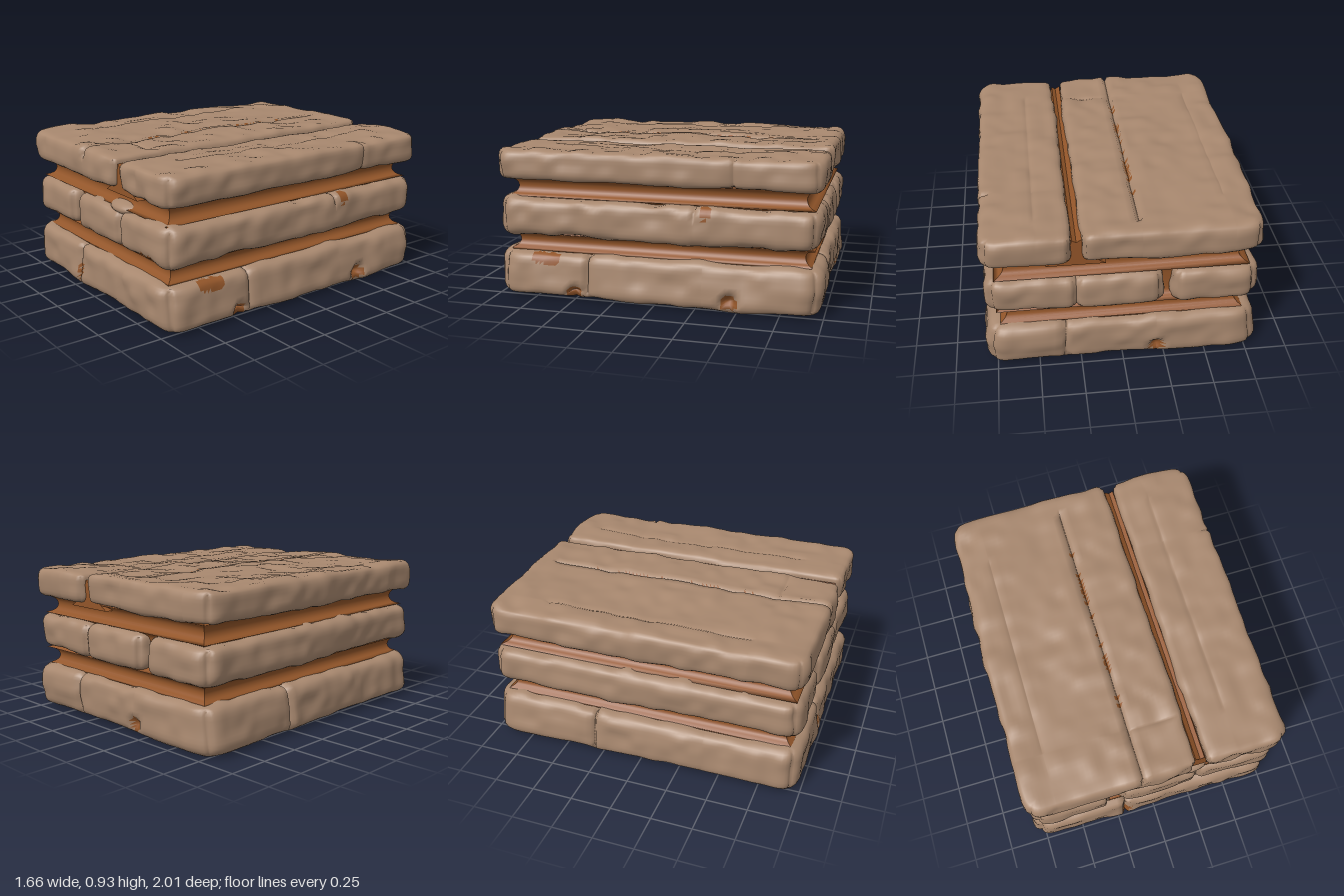
import * as THREE from 'three';
import { mergeVertices } from 'three/addons/utils/BufferGeometryUtils.js';

const stone = new THREE.MeshStandardMaterial({ color: 0xa7876e });
stone.name = 'stone';
const mortar = new THREE.MeshStandardMaterial({ color: 0x925529 });
mortar.name = 'mortar';

// Seeded value noise in the range -1..1
function hash(x, y, z) {
  let h = (x * 374761393 + y * 668265263 + z * 2147483647) | 0;
  h = Math.imul(h ^ (h >>> 13), 1274126177);
  h = Math.imul(h ^ (h >>> 16), 2246822519);
  return ((h ^ (h >>> 15)) >>> 0) / 2147483648 - 1;
}
function noise(x, y, z) {
  const i = Math.floor(x), j = Math.floor(y), k = Math.floor(z);
  const s = t => t * t * (3 - 2 * t);
  const u = s(x - i), v = s(y - j), w = s(z - k);
  let sum = 0;
  for (let c = 0; c < 8; c++) {
    const a = c & 1, b = (c >> 1) & 1, d = c >> 2;
    sum += hash(i + a, j + b, k + d) * (a ? u : 1 - u) * (b ? v : 1 - v) * (d ? w : 1 - w);
  }
  return sum;
}

// Pull a point that lies past the inner box (half - radius) onto a rounded corner
function roundOff(p, half, radius, axes) {
  const over = axes.map(a => Math.sign(p[a]) * Math.max(0, Math.abs(p[a]) - (half[a] - radius)));
  const len = Math.hypot(...over), most = Math.max(...over.map(Math.abs));
  if (len === 0) return;
  axes.forEach((a, n) => { p[a] += over[n] * (most / len - 1); });
}

/* Weathered slab. x, y, z are [min, max]; edge rounds all edges, corners rounds the
   plan on the -x and +x sides; cracks are { axis, at, depth, where }, and dents are
   [x, y, z, radius, depth] that also show mortar. */
function slab(name, { x, y, z, edge, corners, cracks = [], dents = [], flare = 0 }) {
  const min = { x: x[0], y: y[0], z: z[0] }, max = { x: x[1], y: y[1], z: z[1] };
  const mid = {}, half = {};
  for (const a of ['x', 'y', 'z']) {
    mid[a] = (min[a] + max[a]) / 2;
    half[a] = (max[a] - min[a]) / 2;
  }
  const seg = a => Math.max(8, Math.round(half[a] * 2 / 0.025));
  let geo = new THREE.BoxGeometry(half.x * 2, half.y * 2, half.z * 2, seg('x'), seg('y'), seg('z'));
  geo.deleteAttribute('normal');
  geo.deleteAttribute('uv');
  geo = mergeVertices(geo, 1e-4);
  const pos = geo.attributes.position, p = new THREE.Vector3();

  // Gather grid lines at the cracks, then round the block
  for (let i = 0; i < pos.count; i++) {
    p.fromBufferAttribute(pos, i);
    for (const { axis, at } of cracks) {
      const d = p[axis] + mid[axis] - at, w = 0.07;
      if (Math.abs(d) < w) p[axis] = at - mid[axis] + d * Math.abs(d) / w;
    }
    roundOff(p, half, edge, ['x', 'y', 'z']);
    roundOff(p, half, p.x < 0 ? corners[0] : corners[1], ['x', 'z']);
    p.x *= 1 - flare * (p.y / half.y);
    p.add(mid);
    pos.setXYZ(i, p.x, p.y, p.z);
  }
  geo.computeVertexNormals();

  // Push the surface in and out along its normals
  const nor = geo.attributes.normal, n = new THREE.Vector3();
  for (let i = 0; i < pos.count; i++) {
    p.fromBufferAttribute(pos, i);
    n.fromBufferAttribute(nor, i);
    let h = 0.011 * noise(p.x * 4, p.y * 5 + 7, p.z * 4) + 0.01 * noise(p.x * 11, p.y * 13, p.z * 11);
    for (const { axis, at, depth, where } of cracks) {
      if (where(p)) h -= depth * Math.max(0, 1 - Math.abs(p[axis] - at) / 0.014);
    }
    for (const [dx, dy, dz, r, depth] of dents) {
      const d = Math.hypot(p.x - dx, p.y - dy, p.z - dz);
      if (d < r) h -= depth * (1 - (d / r) ** 2);
    }
    p.addScaledVector(n, h);
    pos.setXYZ(i, p.x, Math.max(0, p.y), p.z);
  }
  geo.computeVertexNormals();

  // Split the faces into stone and exposed mortar
  const parts = [[], []], idx = geo.index.array;
  for (let i = 0; i < idx.length; i += 3) {
    const tri = [idx[i], idx[i + 1], idx[i + 2]];
    const c = ['getX', 'getY', 'getZ'].map(g => tri.reduce((s, v) => s + pos[g](v), 0) / 3);
    const bare = dents.some(([dx, dy, dz, r]) => Math.hypot(c[0] - dx, c[1] - dy, c[2] - dz) < r * 0.85);
    parts[bare ? 1 : 0].push(...tri);
  }
  geo.setIndex(parts[0].concat(parts[1]));
  geo.clearGroups();
  geo.addGroup(0, parts[0].length, 0);
  geo.addGroup(parts[0].length, parts[1].length, 1);
  const mesh = new THREE.Mesh(geo, [stone, mortar]);
  mesh.name = name;
  return mesh;
}

// Mortar core that spreads outwards where it meets each course
function mortarCore() {
  const geo = new THREE.BoxGeometry(1.35, 0.64, 1.76, 1, 64, 1).translate(0, 0.44, 0);
  const pos = geo.attributes.position;
  for (let i = 0; i < pos.count; i++) {
    const gap = Math.min(...[0.285, 0.39, 0.62, 0.73].map(s => Math.abs(pos.getY(i) - s)));
    const spread = 0.06 * Math.exp(-gap / 0.015);
    pos.setX(i, pos.getX(i) + Math.sign(pos.getX(i)) * spread);
    pos.setZ(i, pos.getZ(i) + Math.sign(pos.getZ(i)) * spread);
  }
  geo.computeVertexNormals();
  const mesh = new THREE.Mesh(geo, mortar);
  mesh.name = 'mortarCore';
  return mesh;
}

// Bead of mortar squeezed up between the top slabs
function mortarBead() {
  const outline = [[0.1, 0.7], [0.44, 0.7], [0.36, 0.75], [0.31, 0.8], [0.29, 0.87], [0.265, 0.855], [0.235, 0.875], [0.225, 0.8], [0.18, 0.75]];
  const shape = new THREE.Shape(outline.map(c => new THREE.Vector2(...c)));
  const geo = new THREE.ExtrudeGeometry(shape, { depth: 1.88, bevelEnabled: false }).translate(0, 0, -0.94);
  const mesh = new THREE.Mesh(geo, mortar);
  mesh.name = 'mortarBead';
  return mesh;
}

export function createModel() {
  const model = new THREE.Group();
  model.name = 'stackedStoneBlock';
  model.add(mortarCore(), mortarBead());

  // Bottom course: one wide slab with cracks, chips and a flared foot
  model.add(slab('bottomSlab', {
    x: [-0.81, 0.81], y: [0.015, 0.285], z: [-0.99, 0.99], edge: 0.06, corners: [0.13, 0.13], flare: 0.02,
    cracks: [
      { axis: 'x', at: -0.2, depth: 0.035, where: p => p.z > 0.85 && p.y > 0.03 },
      { axis: 'x', at: 0.34, depth: 0.035, where: p => p.z < -0.85 && p.y > 0.03 },
      { axis: 'z', at: 0.41, depth: 0.03, where: p => p.x > 0.7 && p.y > 0.03 },
      { axis: 'z', at: -0.3, depth: 0.03, where: p => p.x < -0.7 && p.y > 0.03 }
    ],
    dents: [
      [0.81, 0.05, 0.49, 0.055, 0.05], [0.81, 0.07, -0.46, 0.06, 0.06],
      [-0.19, 0.14, 0.98, 0.032, 0.01], [-0.19, 0.1, 0.98, 0.035, 0.01], [-0.19, 0.07, 0.97, 0.035, 0.01],
      [-0.2, 0.08, -0.98, 0.05, 0.04],
      [0.78, 0.26, 0.64, 0.065, 0.005], [0.78, 0.27, 0.72, 0.06, 0.005]
    ]
  }));

  // Middle course: three stones running front to back
  const middle = { y: [0.39, 0.615], z: [-0.98, 0.98], edge: 0.06 };
  model.add(slab('middleStoneRight', { ...middle, x: [-0.8, -0.285], corners: [0.12, 0.06] }));
  model.add(slab('middleStoneCentre', { ...middle, x: [-0.24, 0.285], corners: [0.07, 0.05] }));
  model.add(slab('middleStoneLeft', {
    ...middle, x: [0.257, 0.8], corners: [0.05, 0.12],
    cracks: [{ axis: 'z', at: -0.25, depth: 0.02, where: p => p.x > 0.7 && p.y > 0.55 }],
    dents: [
      [0.78, 0.59, -0.32, 0.045, 0.005], [0.78, 0.55, -0.32, 0.03, 0.005],
      [0.52, 0.4, 0.95, 0.045, 0.005], [0.6, 0.4, 0.95, 0.05, 0.005]
    ]
  }));

  // Stone swelling on top of the middle course at the front
  const lump = new THREE.Mesh(new THREE.SphereGeometry(1, 20, 12), stone);
  lump.name = 'stoneLump';
  lump.scale.set(0.15, 0.045, 0.1);
  lump.position.set(0.23, 0.61, 0.86);
  model.add(lump);

  // Top course: a wide cracked slab and a narrow one
  const top = { z: [-0.985, 0.985], edge: 0.045 };
  const crackFill = [-0.55, -0.4, -0.36, -0.32, -0.28, -0.24, -0.2, -0.1, 0.02, 0.1, 0.18, 0.22, 0.26, 0.45, 0.5];
  model.add(slab('topSlabWide', {
    ...top, x: [-0.81, 0.24], y: [0.73, 0.918], corners: [0.11, 0.04],
    cracks: [
      { axis: 'x', at: -0.1, depth: 0.035, where: p => p.y > 0.87 && p.z > -0.86 },
      { axis: 'x', at: -0.62, depth: 0.01, where: p => p.y > 0.87 && Math.abs(p.z) < 0.65 },
      { axis: 'z', at: 0.66, depth: 0.015, where: p => p.y > 0.87 && p.x > -0.06 && p.x < 0.19 }
    ],
    dents: crackFill.map(z => [-0.1, 0.895, z, 0.024, 0])
  }));
  model.add(slab('topSlabNarrow', {
    ...top, x: [0.29, 0.81], y: [0.73, 0.91], corners: [0.04, 0.11],
    cracks: [
      { axis: 'z', at: -0.48, depth: 0.014, where: p => p.x > 0.76 },
      { axis: 'x', at: 0.49, depth: 0.01, where: p => p.y > 0.87 && p.z < 0.7 && p.z > -0.8 }
    ]
  }));
  return model;
}
